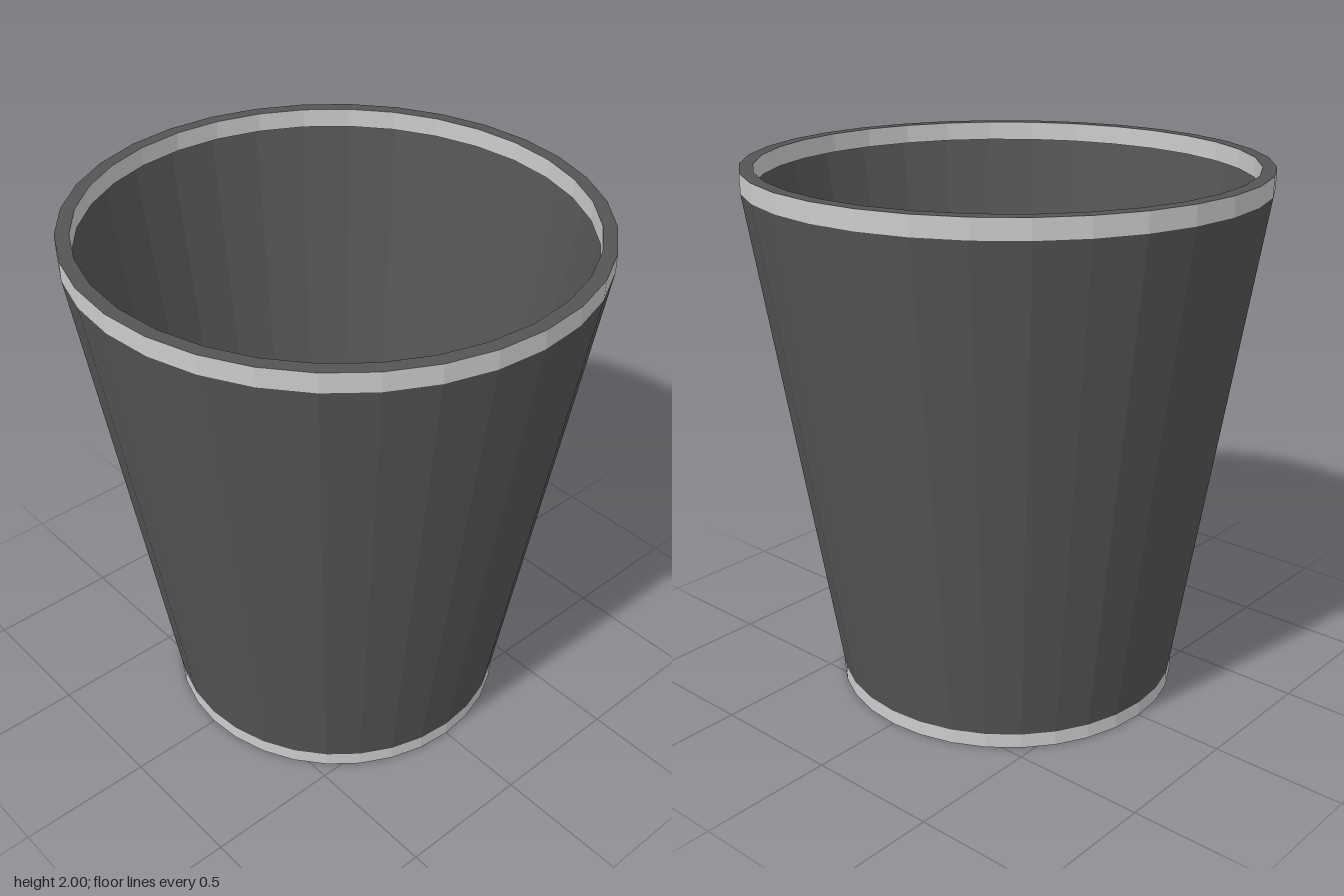
import * as THREE from 'three';

const SIDES = 32;
const dark = new THREE.MeshStandardMaterial({ color: 0x555555, flatShading: true, side: THREE.DoubleSide });
const light = new THREE.MeshStandardMaterial({ color: 0xcccccc, flatShading: true, side: THREE.DoubleSide });

// Surface swept around the y axis from [radius, height] points
function sweep(name, points, material) {
  const profile = points.map(([r, y]) => new THREE.Vector2(r, y));
  const mesh = new THREE.Mesh(new THREE.LatheGeometry(profile, SIDES), material);
  mesh.name = name;
  return mesh;
}

// Square-section hoop: light upright bands, dark flat faces
function hoop(name, inner, outer, bottom, top) {
  const group = new THREE.Group();
  group.name = name;
  group.add(
    sweep(name + 'OuterBand', [[outer, bottom], [outer, top]], light),
    sweep(name + 'InnerBand', [[inner, top], [inner, bottom]], light),
    sweep(name + 'TopFace', [[outer, top], [inner, top]], dark),
    sweep(name + 'Underside', [[inner, bottom], [outer, bottom]], dark)
  );
  return group;
}

export function createModel() {
  const model = new THREE.Group();
  model.name = 'wasteBin';

  const bin = new THREE.Group();
  bin.name = 'bin';
  bin.scale.z = 0.987; // very slightly oval
  model.add(bin);

  // Thin tapered wall between the two hoops
  bin.add(sweep('wall', [[0.653, 0.055], [0.946, 1.93]], dark));
  bin.add(hoop('rim', 0.896, 0.946, 1.93, 2));
  bin.add(hoop('baseHoop', 0.608, 0.653, 0, 0.055));

  // Floor disc inside the base hoop
  const floor = new THREE.Mesh(new THREE.CircleGeometry(0.608, SIDES), dark);
  floor.name = 'floor';
  floor.rotation.x = -Math.PI / 2;
  bin.add(floor);

  return model;
}
